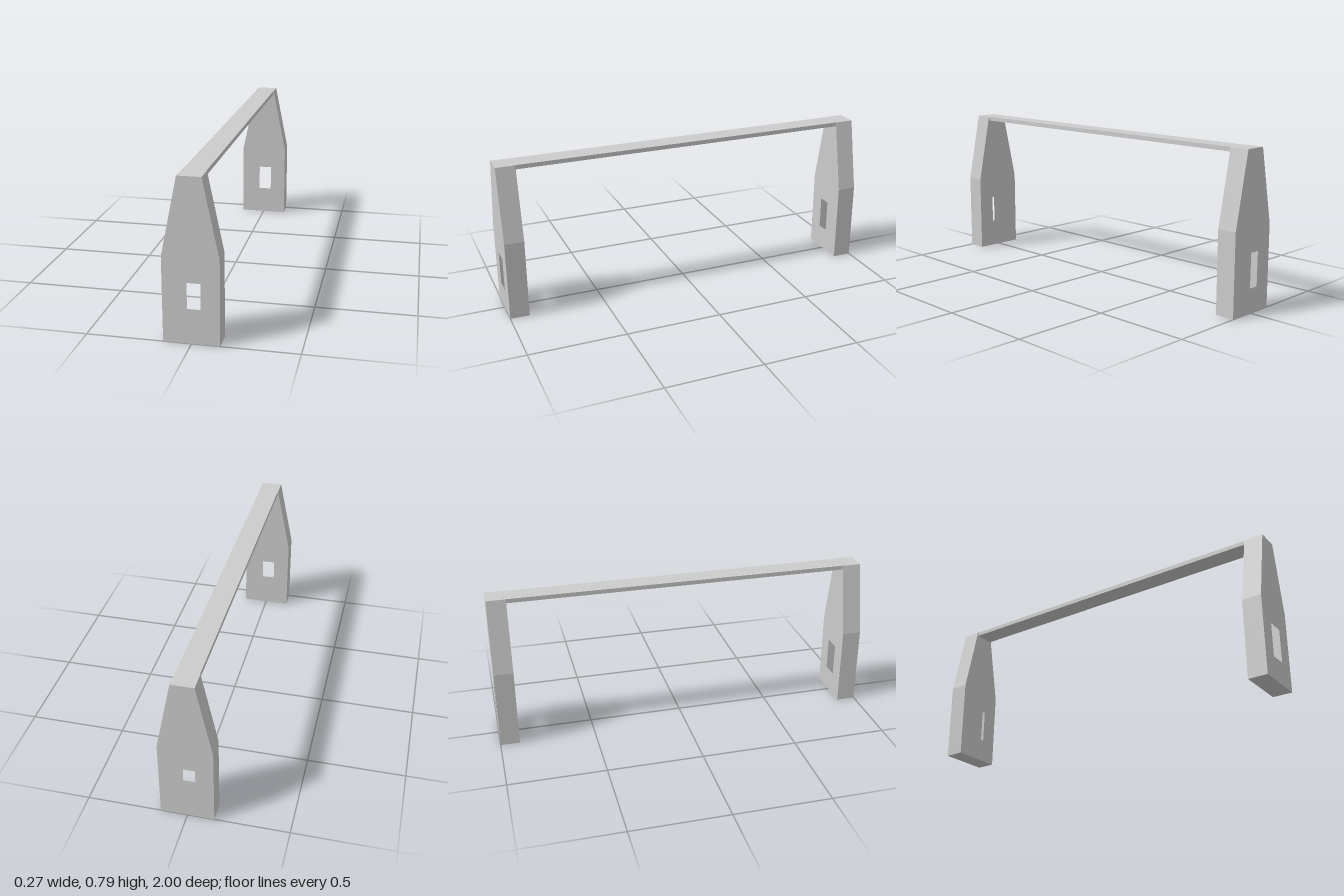
import * as THREE from 'three';

const material = new THREE.MeshStandardMaterial({ color: 0xcccccc, flatShading: true, side: THREE.DoubleSide });

const THICK = 0.1;
const TOP = 0.79;
// counter-clockwise outline of a leg: straight base, tapered neck
const outline = [[-0.133, 0], [0.133, 0], [0.133, 0.415], [0.056, TOP], [-0.056, TOP], [-0.133, 0.415]];
const slot = [[-0.045, 0.123], [-0.045, 0.297], [0.045, 0.297], [0.045, 0.123]];
const toPoints = (list) => list.map(([x, y]) => new THREE.Vector2(x, y));

function addMesh(parent, geometry, name) {
  const mesh = new THREE.Mesh(geometry, material);
  mesh.name = name;
  parent.add(mesh);
  return mesh;
}

// band of quads round the outline, closing the leg between its two faces
function rimGeometry() {
  const pos = [];
  const h = THICK / 2;
  outline.forEach((a, i) => {
    const b = outline[(i + 1) % outline.length];
    pos.push(...a, -h, ...b, -h, ...b, h, ...a, -h, ...b, h, ...a, h);
  });
  const geometry = new THREE.BufferGeometry();
  geometry.setAttribute('position', new THREE.Float32BufferAttribute(pos, 3));
  geometry.computeVertexNormals();
  return geometry;
}

// hollow leg: two slotted plates and an outer rim
function makeLeg(name, z) {
  const leg = new THREE.Group();
  leg.name = name;
  const shape = new THREE.Shape(toPoints(outline));
  shape.holes.push(new THREE.Path(toPoints(slot)));
  const plate = new THREE.ShapeGeometry(shape);
  addMesh(leg, plate, 'frontPlate').position.z = THICK / 2;
  const back = addMesh(leg, plate, 'backPlate');
  back.position.z = -THICK / 2;
  back.rotation.y = Math.PI;
  addMesh(leg, rimGeometry(), 'rim');
  leg.position.z = z;
  return leg;
}

export function createModel() {
  const model = new THREE.Group();
  model.name = 'slottedLegFrame';
  model.add(makeLeg('frontLeg', 1 - THICK / 2), makeLeg('backLeg', -1 + THICK / 2));

  // flat bar joining the tops of the legs
  const bar = addMesh(model, new THREE.BoxGeometry(0.108, 0.022, 2 - 2 * THICK), 'crossBar');
  bar.position.y = TOP - 0.011;
  return model;
}
